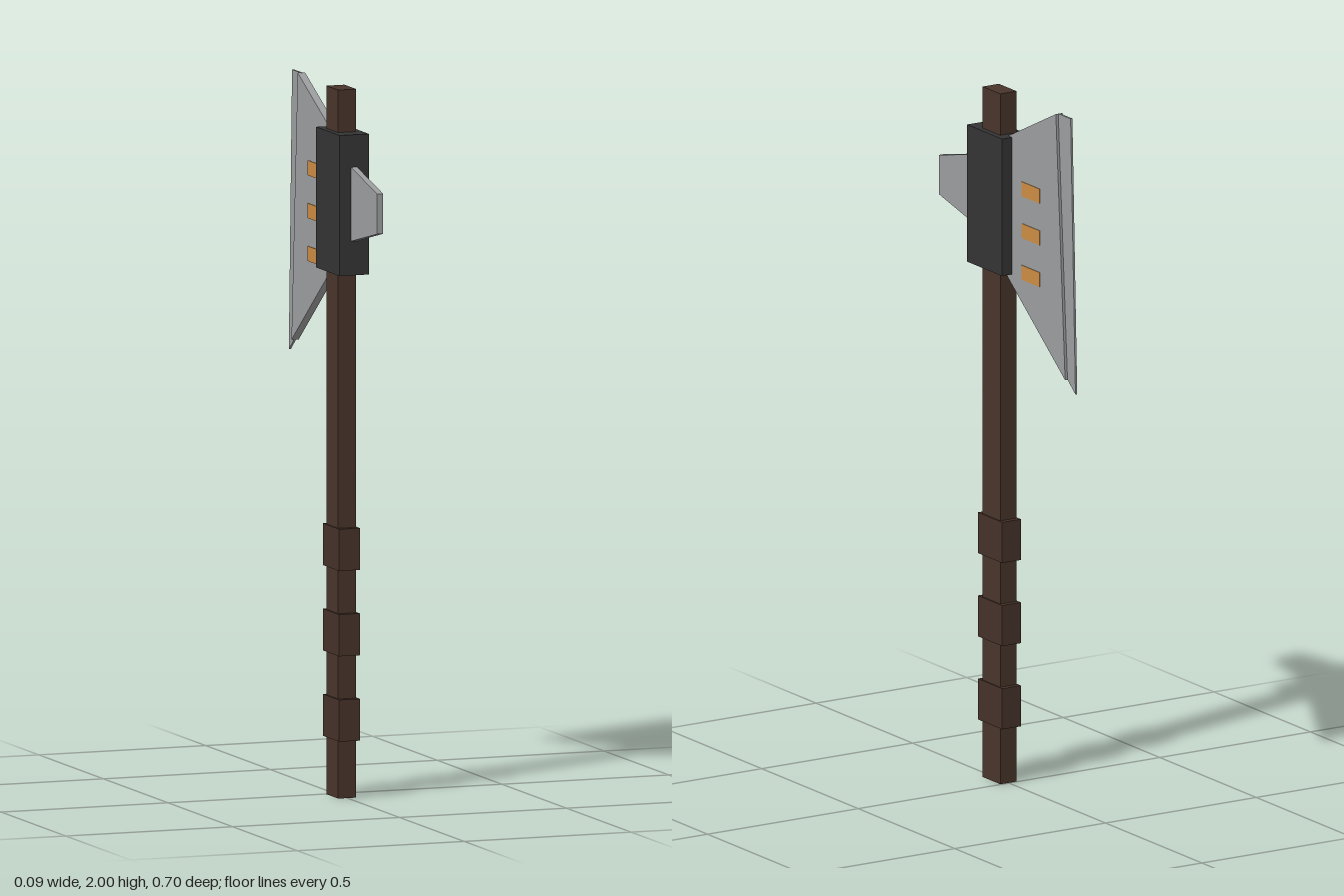
import * as THREE from 'three';

const mat = (name, color) => {
  const m = new THREE.MeshStandardMaterial({ color });
  m.name = name;
  return m;
};

export function createModel() {
  const wood = mat('dark wood', 0x48352b);
  const leather = mat('grip brown', 0x463229);
  const iron = mat('dark iron', 0x343434);
  const steel = mat('steel', 0x9c9d9f);
  const copper = mat('copper inlay', 0xcc8c44);
  const model = new THREE.Group();
  model.name = 'battleAxe';

  const add = (name, geometry, material) => {
    const mesh = new THREE.Mesh(geometry, material);
    mesh.name = name;
    model.add(mesh);
    return mesh;
  };
  // Box given by its half width in x and its y and z ranges
  const box = (name, halfX, y0, y1, z0, z1, material) =>
    add(name, new THREE.BoxGeometry(halfX * 2, y1 - y0, z1 - z0), material)
      .position.set(0, (y0 + y1) / 2, (z0 + z1) / 2);
  // Flat plate with a (z, y) outline, centred on x = 0
  const plate = (name, halfX, outline, material) => {
    const shape = new THREE.Shape(outline.map(([z, y]) => new THREE.Vector2(z, y)));
    const geometry = new THREE.ExtrudeGeometry(shape, { depth: halfX * 2, bevelEnabled: false });
    geometry.translate(0, 0, -halfX).rotateY(-Math.PI / 2);
    add(name, geometry, material);
  };

  // Handle with three grip wraps
  box('handle', 0.027, 0, 2, 0.003, 0.095, wood);
  for (let i = 0; i < 3; i++) {
    const y = 0.163 + i * 0.241;
    box('gripWrap' + (i + 1), 0.031, y, y + 0.118, -0.013, 0.113, leather);
  }

  // Head block around the handle
  box('headBlock', 0.044, 1.483, 1.88, -0.032, 0.149, iron);

  // Blade body, thinner cutting edge and rear spike
  plate('blade', 0.011, [[0.003, 1.872], [0.003, 1.481], [-0.308, 1.24], [-0.26, 2]], steel);
  plate('cuttingEdge', 0.003, [[-0.258, 2], [-0.306, 1.242], [-0.349, 1.207], [-0.324, 2]], steel);
  plate('rearSpike', 0.009, [[0.1, 1.8], [0.1, 1.568], [0.35, 1.627], [0.35, 1.74]], steel);

  // Inlays showing on both faces of the blade
  for (let i = 0; i < 3; i++) {
    const y = 1.48 + i * 0.121;
    box('bladeInlay' + (i + 1), 0.0128, y, y + 0.042, -0.178, -0.085, copper);
  }
  return model;
}
